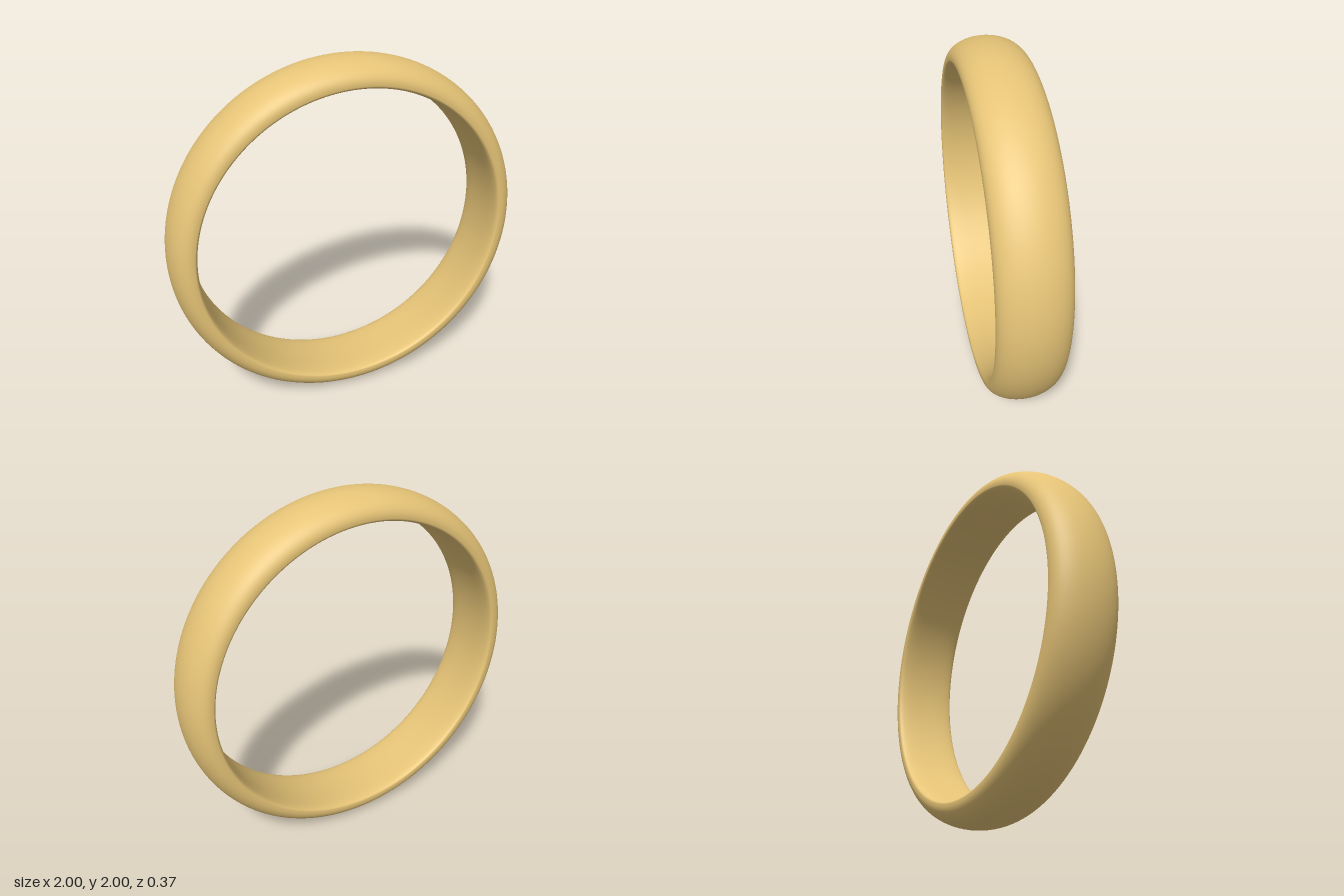
import * as THREE from 'three';

const HALF_WIDTH = 0.183; // half the band's depth along z
const EDGE_RADIUS = 0.893; // radius where the band is widest
const OUTER_RISE = 0.107; // dome of the outside
const INNER_RISE = 0.033; // depth of the rounded inner edge

// Closed D-shaped section: elliptical dome outside, nearly flat inside with rounded edges
function bandProfile(steps) {
  const points = [];
  for (let i = 0; i <= steps; i++) {
    const a = Math.PI + (i / steps) * Math.PI * 2;
    const c = Math.cos(a), s = Math.sin(a);
    const outer = c > 0;
    const power = outer ? 1 : 0.5;
    const r = Math.sign(c) * Math.abs(c) ** power * (outer ? OUTER_RISE : INNER_RISE);
    const w = Math.sign(s) * Math.abs(s) ** power * HALF_WIDTH;
    points.push(new THREE.Vector2(EDGE_RADIUS + r, w));
  }
  return points;
}

export function createModel() {
  const group = new THREE.Group();
  group.name = 'ring';

  // Band swept round, then stood upright with its hole facing the front
  const geometry = new THREE.LatheGeometry(bandProfile(96), 192);
  geometry.rotateX(Math.PI / 2);
  const band = new THREE.Mesh(geometry, new THREE.MeshStandardMaterial({ color: 0xe6c477 }));
  band.name = 'band';
  band.position.y = 1;
  group.add(band);

  return group;
}
